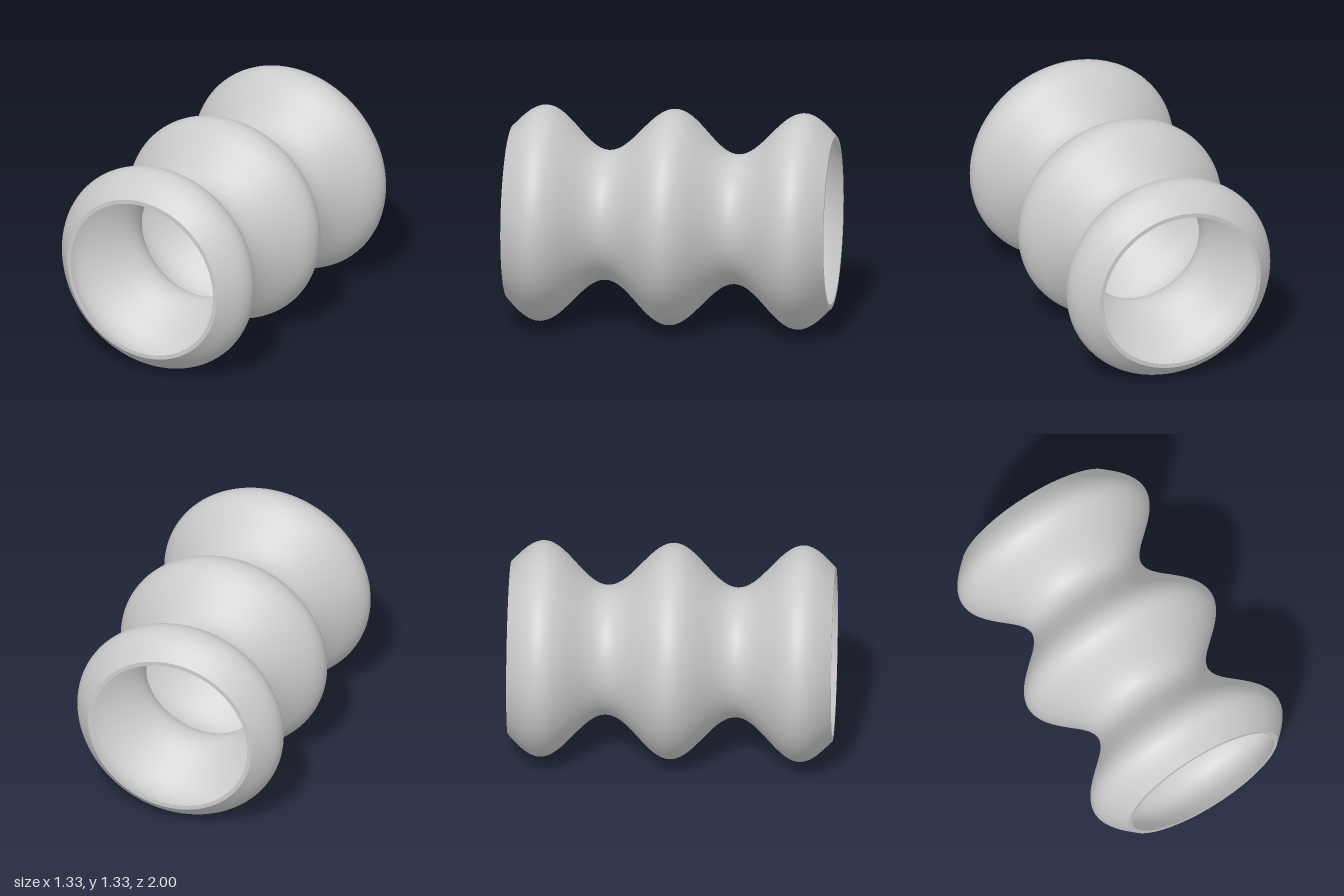
import * as THREE from 'three';

const HALF = 1;          // half length along z
const MEAN = 0.5333;     // mean outer radius
const WAVE = 0.1333;     // height of the corrugation
const PITCH = 0.8;       // distance between crests
const WALL = 0.0267;     // wall thickness
const STEPS = 100;

const radius = (z) => MEAN + WAVE * Math.cos((2 * Math.PI * z) / PITCH);

// Wavy profile from one end of the tube to the other
function wavyProfile(inset, from, to) {
  return Array.from({ length: STEPS + 1 }, (_, i) => {
    const z = from + ((to - from) * i) / STEPS;
    return new THREE.Vector2(radius(z) - inset, z);
  });
}

export function createModel() {
  const group = new THREE.Group();
  group.name = 'corrugatedTube';
  const material = new THREE.MeshStandardMaterial({ color: 0xcccccc });

  // Revolve a profile around the z axis
  const addLathe = (name, points) => {
    const geometry = new THREE.LatheGeometry(points, 96);
    geometry.rotateX(Math.PI / 2);
    const mesh = new THREE.Mesh(geometry, material);
    mesh.name = name;
    mesh.position.y = MEAN + WAVE;
    group.add(mesh);
  };

  // Outer and inner skins, running in opposite directions so each faces outward
  addLathe('outerWall', wavyProfile(0, -HALF, HALF));
  addLathe('innerWall', wavyProfile(WALL, HALF, -HALF));

  // Flat end rims joining the two skins
  const outer = radius(HALF);
  const inner = outer - WALL;
  addLathe('frontRim', [new THREE.Vector2(outer, HALF), new THREE.Vector2(inner, HALF)]);
  addLathe('backRim', [new THREE.Vector2(inner, -HALF), new THREE.Vector2(outer, -HALF)]);

  return group;
}
